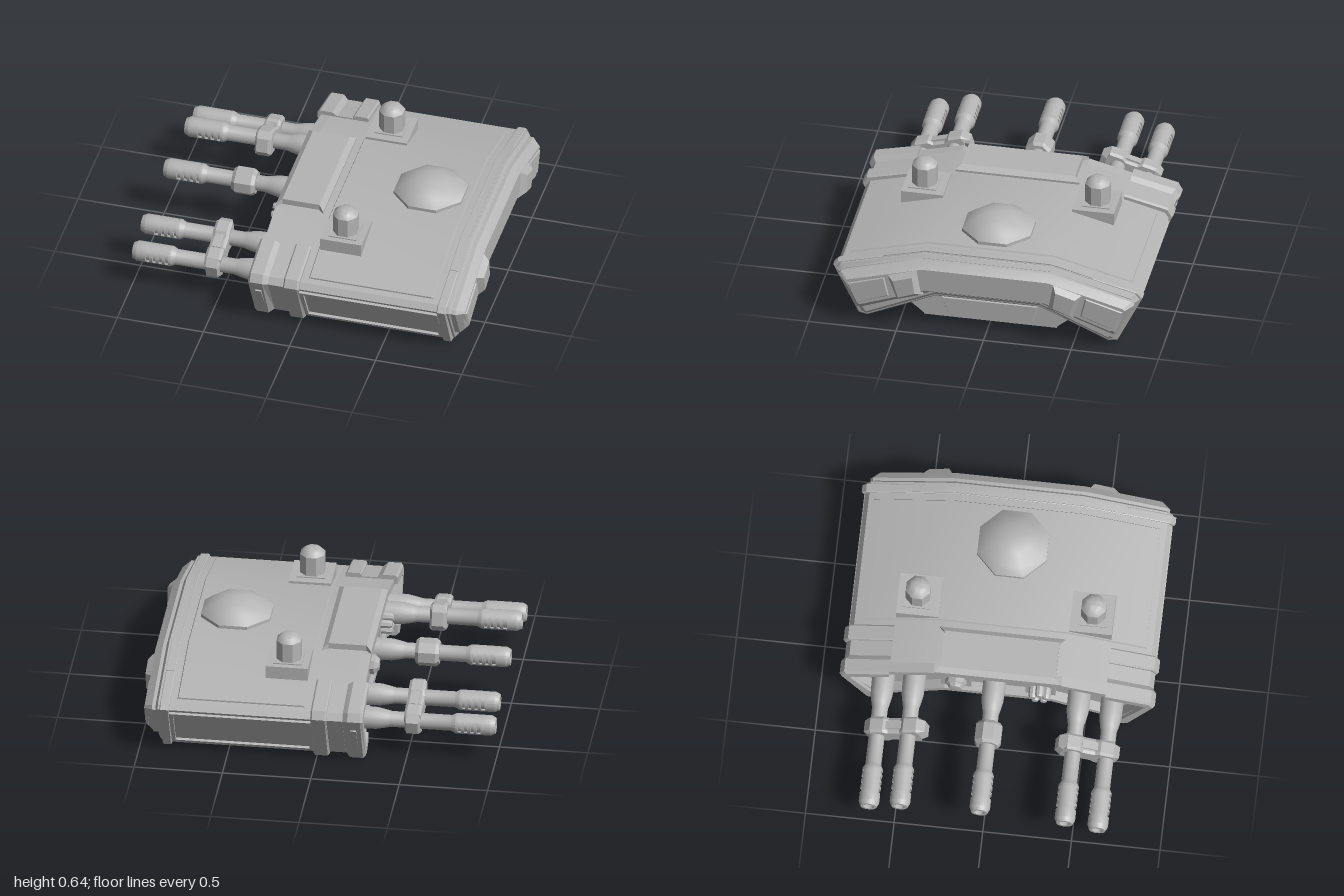
import * as THREE from 'three';
import { toCreasedNormals } from 'three/addons/utils/BufferGeometryUtils.js';

const steel = new THREE.MeshStandardMaterial({ color: 0xb4b4b4, side: THREE.DoubleSide });
steel.name = 'steel grey';

// Joins [z, y] outlines placed at successive x positions, capped at both ends
function loft(sections) {
  const v = [];
  const flip = THREE.ShapeUtils.isClockWise(sections[0][1].map(p => new THREE.Vector2(...p)));
  const rings = sections.map(([x, pts]) => {
    const ring = pts.map(([z, y]) => [x, y, z]);
    return flip ? ring.reverse() : ring;
  });
  const n = rings[0].length;
  for (let k = 0; k + 1 < rings.length; k++) {
    const a = rings[k], b = rings[k + 1];
    for (let i = 0; i < n; i++) {
      const j = (i + 1) % n;
      v.push(...a[i], ...b[i], ...a[j], ...a[j], ...b[i], ...b[j]);
    }
  }
  const cap = (ring, back) => {
    const flat = ring.map(p => new THREE.Vector2(p[2], p[1]));
    for (const f of THREE.ShapeUtils.triangulateShape(flat, [])) {
      for (const i of back ? [f[2], f[1], f[0]] : f) v.push(...ring[i]);
    }
  };
  cap(rings[0], false);
  cap(rings[rings.length - 1], true);
  const g = new THREE.BufferGeometry();
  g.setAttribute('position', new THREE.Float32BufferAttribute(v, 3));
  return toCreasedNormals(g, 0.3);
}

const mirrored = half => [...half, ...half.map(([z, y]) => [-z, y]).reverse()];
const side = (pts, s) => pts.map(([z, y]) => [z * s, y]);
const toVectors = pts => pts.map(p => new THREE.Vector2(...p));
// Arched hull section, grown outward by d and upward by top
const hullOutline = (d, top = d) => mirrored([
  [0.36, 0.457 + top], [0.84 + d, 0.333 + top], [0.865 + d, 0.30 + d * 0.5],
  [0.72 + d, 0.03 - d], [0.69, 0.02 - d], [0.30, 0.195 - d]]);
// C-shaped band that wraps the outer end of a wing
const collarOutline = d => [
  [0.61, 0.395 + d], [0.84 + d, 0.335 + d], [0.865 + d, 0.30 + d * 0.5], [0.72 + d, 0.03 - d],
  [0.69, 0.02 - d], [0.61, 0.057 - d], [0.61, 0.10], [0.69, 0.06], [0.70, 0.065],
  [0.83, 0.295], [0.815, 0.31], [0.61, 0.365]];

// Lathe turned about the x axis; profile is [radius, x]
function turned(profile, segments = 20, start = 0, length = Math.PI * 2) {
  const g = new THREE.LatheGeometry(toVectors(profile), segments, start, length);
  return toCreasedNormals(g.rotateZ(-Math.PI / 2), 0.5);
}

export function createModel() {
  const model = new THREE.Group();
  model.name = 'gunTurret';
  const add = (name, geometry, x = 0, y = 0, z = 0, parent = model) => {
    const m = new THREE.Mesh(geometry, steel);
    m.name = name;
    m.position.set(x, y, z);
    parent.add(m);
    return m;
  };
  const box = (name, w, h, d, x, y, z, parent) => add(name, new THREE.BoxGeometry(w, h, d), x, y, z, parent);

  // Hull and the open frame around the shallow gun recess
  add('hull', loft([[-0.2, hullOutline(0)], [0.885, hullOutline(0)], [0.9, hullOutline(-0.02)]]));
  const frame = new THREE.Shape(toVectors(hullOutline(0)));
  frame.holes.push(new THREE.Path(toVectors(hullOutline(-0.035))));
  add('recessFrame', new THREE.ExtrudeGeometry(frame, { depth: 0.06, bevelEnabled: false }).rotateY(Math.PI / 2), -0.255);

  // Rear rim, bulging rear armour
  add('rearRim', loft([[0.82, hullOutline(0.012, 0.002)], [0.825, hullOutline(0.02, 0.004)],
    [0.868, hullOutline(0.02, 0.004)], [0.873, hullOutline(0.012, 0.002)]]));
  const bulgeBase = mirrored([[0.37, 0.435], [0.83, 0.305], [0.845, 0.285], [0.74, 0.085], [0.72, 0.08], [0.32, 0.23]]);
  const bulgeFace = mirrored([[0.36, 0.40], [0.79, 0.28], [0.80, 0.27], [0.725, 0.13], [0.715, 0.125], [0.34, 0.262]]);
  add('rearArmour', loft([[0.88, bulgeBase], [0.92, bulgeBase], [0.965, bulgeFace]]));

  // Shallow deck panel, its rear strip and the raised front hatch
  const deck = (w, d) => mirrored([[0.36, 0.457 + d], [w, 0.457 + d - (w - 0.36) * 0.258], [w, 0.43 - (w - 0.36) * 0.258], [0.36, 0.43]]);
  add('deckPanel', loft([[0.06, deck(0.81, 0)], [0.065, deck(0.805, 0.009)], [0.775, deck(0.805, 0.009)], [0.78, deck(0.81, 0)]]));
  add('rearStrip', loft([[0.825, deck(0.6, 0.01)], [0.87, deck(0.6, 0.01)]]));
  const hatch = (w, y) => [[w, y], [w, 0.44], [-w, 0.44], [-w, y]];
  add('frontHatch', loft([[-0.255, hatch(0.355, 0.47)], [-0.225, hatch(0.325, 0.492)], [-0.01, hatch(0.325, 0.492)], [0.02, hatch(0.355, 0.47)]]));

  // Central sensor dome
  const domeProfile = [[0.211, 0.45], [0.211, 0.485], [0.165, 0.525], [0.095, 0.562], [0.04, 0.574], [0, 0.576]];
  const dome = new THREE.LatheGeometry(toVectors(domeProfile), 8).rotateY(Math.PI / 8);
  add('dome', toCreasedNormals(dome, 0.7), 0.55);

  // Underside housing with an octagonal recess
  const housing = mirrored([[0.47, 0.2], [0.49, 0.10], [0.43, 0.05]]);
  add('baseHousing', loft([[-0.1, housing], [0.8, housing]]));
  const plate = new THREE.Shape(toVectors([[-0.1, -0.38], [0.8, -0.38], [0.8, 0.38], [-0.1, 0.38]]));
  const octagon = [];
  for (let i = 0; i < 8; i++) {
    const a = (i + 0.5) * Math.PI / 4;
    octagon.push(new THREE.Vector2(0.3 + 0.375 * Math.cos(a), 0.375 * Math.sin(a)));
  }
  plate.holes.push(new THREE.Path(octagon));
  add('basePlate', new THREE.ExtrudeGeometry(plate, { depth: 0.055, bevelEnabled: false }).rotateX(Math.PI / 2), 0, 0.055);
  const wedge = [[0.37, 0], [0.435, 0.055], [0.37, 0.055]];
  for (const s of [1, -1]) add('baseEdge', loft([[-0.1, side(wedge, s)], [0.8, side(wedge, s)]]));
  add('basePanel', loft([
    [0.79, mirrored([[0.285, 0.14], [0.25, 0.028]])],
    [0.815, mirrored([[0.27, 0.13], [0.24, 0.038]])]]));

  for (const s of [1, -1]) {
    // Collars around the wing ends
    const collar = (name, rows) => add(name, loft(rows.map(([x, d]) => [x, side(collarOutline(d), s)])));
    collar('frontCollar', [[-0.275, 0.012], [-0.262, 0.024], [-0.19, 0.024], [-0.16, 0.004]]);
    collar('middleCollar', [[-0.16, 0.006], [-0.07, 0.006]]);
    collar('rearCollar', [[-0.07, 0.016], [-0.062, 0.024], [0.01, 0.024], [0.02, 0.016]]);

    // Sloping wing side: framed panel and collar slot
    const slope = new THREE.Group();
    slope.name = 'wingSide';
    slope.position.set(0, 0.165, 0.7925 * s);
    slope.rotation.x = 0.493 * s;
    model.add(slope);
    for (const y of [-0.14, 0.125]) box('sideRail', 0.8, 0.022, 0.03, 0.42, y, 0, slope);
    for (const x of [0.03, 0.81]) box('sidePost', 0.022, 0.28, 0.03, x, -0.005, 0, slope);
    box('collarSlot', 0.035, 0.22, 0.012, -0.22, -0.01, 0.022 * s, slope);

    // Rear clamp and raised rear panel
    add('rearClamp', loft([
      [0.9, side([[0.565, 0.35], [0.385, 0.405], [0.355, 0.225], [0.505, 0.175]], s)],
      [0.955, side([[0.565, 0.345], [0.385, 0.40], [0.355, 0.23], [0.505, 0.18]], s)],
      [1.0, side([[0.52, 0.325], [0.41, 0.36], [0.395, 0.255], [0.49, 0.22]], s)]]));
    add('rearPanel', loft([
      [0.95, side([[0.805, 0.265], [0.56, 0.338], [0.53, 0.195], [0.745, 0.12]], s)],
      [0.972, side([[0.78, 0.257], [0.58, 0.318], [0.555, 0.21], [0.73, 0.143]], s)]]));

    // Periscope on a square mount
    box('periscopeMount', 0.24, 0.12, 0.24, 0.19, 0.418, 0.488 * s);
    box('periscopePlate', 0.16, 0.02, 0.16, 0.19, 0.474, 0.495 * s);
    const post = [[0.074, 0.46], [0.074, 0.6], [0.05, 0.626], [0.026, 0.637], [0, 0.637]];
    const postGeo = new THREE.LatheGeometry(toVectors(post), 8).rotateY(Math.PI / 8);
    add('periscope', toCreasedNormals(postGeo, 0.6), 0.19, 0, 0.495 * s);
  }

  // Guns with slotted muzzles
  const barrelProfile = [[0, -0.93], [0.03, -0.93], [0.03, -1], [0.046, -1], [0.058, -0.975], [0.058, -0.92],
    [0.044, -0.92], [0.044, -0.79], [0.058, -0.79], [0.058, -0.775], [0.045, -0.75], [0.045, -0.41],
    [0.05, -0.39], [0.062, -0.33], [0.064, -0.27], [0.064, -0.19]];
  const barrel = turned(barrelProfile);
  const sleeve = [[0.058, -0.92], [0.058, -0.79]];
  const sleeves = [0.6, Math.PI + 0.6].map(a => turned(sleeve, 10, a, Math.PI - 1.2));
  for (const [z, y] of [[-0.645, 0.214], [-0.47, 0.267], [-0.02, 0.304], [0.46, 0.267], [0.645, 0.214]]) {
    const gun = new THREE.Group();
    gun.name = 'gun';
    gun.position.set(0, y, z);
    model.add(gun);
    add('barrel', barrel, 0, 0, 0, gun);
    for (const g of sleeves) add('muzzleSleeve', g, 0, 0, 0, gun);
    for (let i = 0; i < 3; i++) {
      const x = -0.897 + i * 0.036;
      add('muzzleRing', turned([[0.044, x], [0.058, x], [0.058, x + 0.018], [0.044, x + 0.018]]), 0, 0, 0, gun);
    }
  }

  // Braces tying the outer gun pairs, and the single centre ring
  const brace = (k, e) => mirrored([[0.035, 0.055 * k], [0.06, 0.075 * k], [0.135, 0.075 * k], [e, 0.04 * k],
    [e, -0.04 * k], [0.135, -0.075 * k], [0.06, -0.075 * k], [0.035, -0.055 * k]]);
  for (const s of [1, -1]) {
    const pair = new THREE.Group();
    pair.name = 'gunBrace';
    pair.position.set(0, 0.245, 0.538 * s);
    pair.rotation.x = 0.28 * s;
    model.add(pair);
    add('brace', loft([[-0.58, brace(0.85, 0.145)], [-0.565, brace(1, 0.178)], [-0.5, brace(1, 0.178)], [-0.485, brace(0.85, 0.145)]]), 0, 0, 0, pair);
    box('braceBoss', 0.045, 0.13, 0.09, -0.5325, 0, 0, pair);
  }
  const ring = turned([[0.045, -0.6], [0.065, -0.6], [0.08, -0.58], [0.08, -0.485], [0.065, -0.465], [0.045, -0.465]], 8);
  add('centreRing', ring.rotateX(Math.PI / 8), 0, 0.304, -0.02);

  // Equipment in the recess: a lens on one side, a cluster on the other
  add('lens', turned([[0, -0.29], [0.035, -0.285], [0.05, -0.265], [0.06, -0.26], [0.06, -0.19]], 8), 0, 0.325, -0.235);
  for (const z of [-0.235, 0.24]) box('equipmentMount', 0.05, 0.16, 0.17, -0.21, 0.32, z);
  for (let i = 0; i < 5; i++) {
    const a = i * Math.PI * 0.4;
    add('clusterTube', turned([[0, -0.3], [0.018, -0.3], [0.024, -0.285], [0.024, -0.2]], 8),
      0, 0.325 + 0.04 * Math.cos(a), 0.24 + 0.04 * Math.sin(a));
  }
  return model;
}
